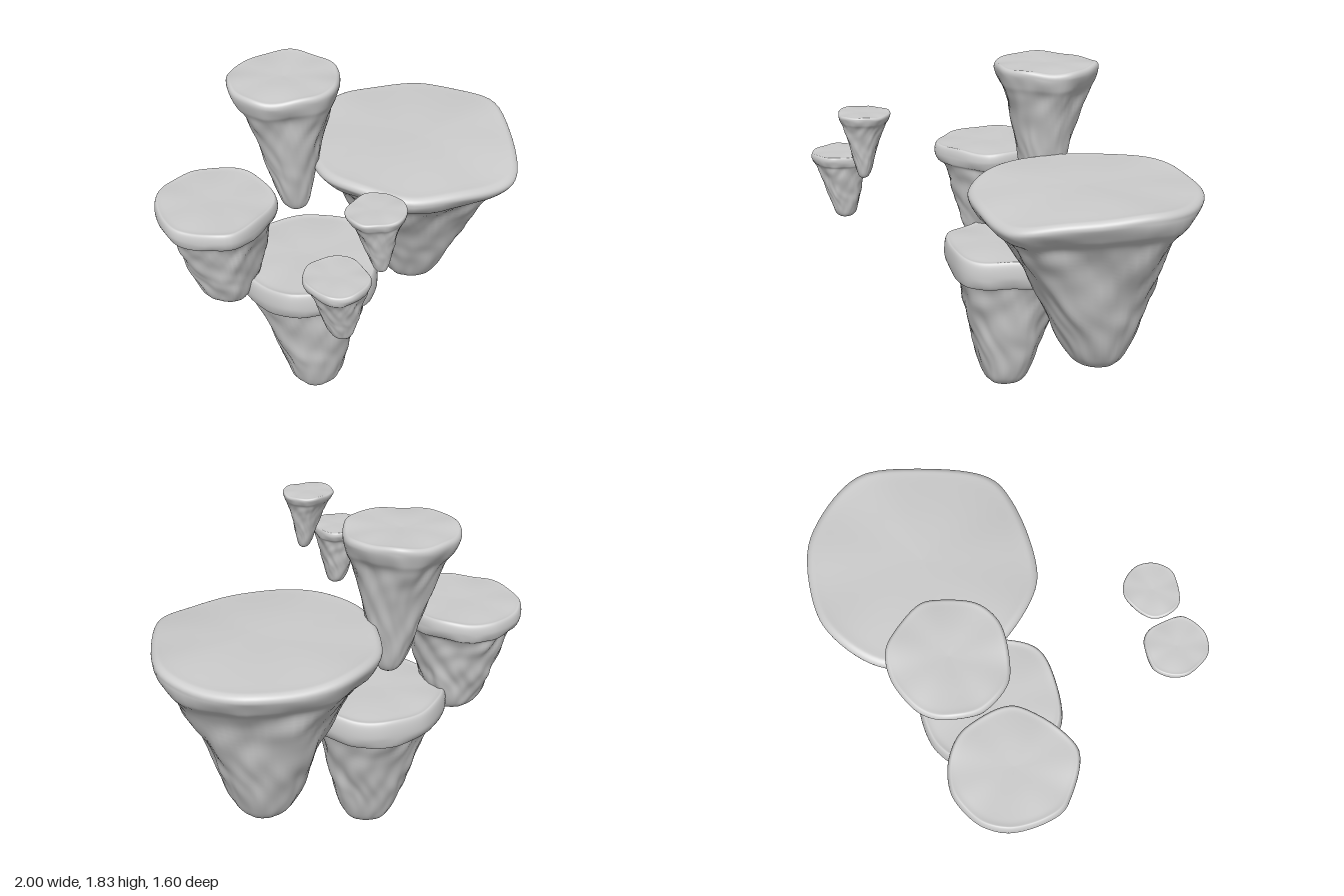
import * as THREE from 'three';

const SEGMENTS = 80, STEPS = 8;
const { lerp, smoothstep, degToRad } = THREE.MathUtils;

// Shared silhouette: [width, height] fractions from the rounded tip to below the rim, then over the dished top
const SIDE = [[0, 0], [0.12, 0.01], [0.22, 0.045], [0.31, 0.13], [0.45, 0.33], [0.62, 0.58], [0.8, 0.79]];
const TOP = [[0.965, 0.986], [0.85, 0.989], [0.45, 0.993], [0, 0.988]];

// Smooth rocky lumps and vertical ridges, periodic around the island
function bump(a, v, s) {
  return 0.4 * Math.sin(3 * a + s * 2.1) * Math.cos(6 * v + s)
    + 0.35 * Math.sin(5 * a + 2 * Math.sin(5 * v + s) + s * 4.3)
    + 0.4 * Math.sin(7 * a + s * 1.7) * Math.sin(19 * v + 2 * Math.sin(2 * a + s))
    + 0.25 * Math.cos(11 * a + 3 * Math.sin(9 * v) + s * 3.1) * Math.cos(13 * v + 3 * Math.sin(3 * a));
}

// y: [tip, top]; tip: [x, z]; rim: [x, z, halfX, halfZ]; taper below 1 gives a fuller body;
// lip: depth of the rounded shoulder; corners: angles of the rim's blunt corners
function island(name, { y, tip, rim, taper, corners, lip = 0.05, tilt = 0, seed }) {
  const [cx, cz, hx, hz] = rim, height = y[1] - y[0];
  const side = [...SIDE, [0.93, 0.925 - lip], [1, 1 - lip]].map(([w, h]) => [Math.pow(w, taper), h]);
  const profile = new THREE.SplineCurve([...side, ...TOP].map(([w, h]) => new THREE.Vector2(w, h)));
  const loop = new THREE.CatmullRomCurve3(corners.map((deg) => {
    const a = degToRad(deg);
    return new THREE.Vector3(Math.cos(a), 0, Math.sin(a));
  }), true, 'catmullrom', 0.45);
  const outline = Array.from({ length: SEGMENTS }, (_, i) => loop.getPoint(i / SEGMENTS));

  const rimRow = (side.length - 1) * STEPS, rows = rimRow + TOP.length * STEPS;
  const position = [], index = [];
  for (let j = 0; j <= rows; j++) {
    const { x: width, y: v } = profile.getPoint(j / rows);
    const onSide = j < rimRow;
    // Bumps fade out at the rim and tip, and corners soften towards the tip
    const rough = onSide ? 0.07 * Math.min(1, (rimRow - j) / (2 * STEPS), j / (3 * STEPS)) : 0;
    const angular = onSide ? lerp(0.3, 1, smoothstep(v, 0.2, 0.95)) : 1;
    const centre = onSide ? width : 1;
    for (const o of outline) {
      const a = Math.atan2(o.z, o.x);
      const k = width * (1 + rough * bump(a, v, seed));
      const ox = lerp(Math.cos(a), o.x, angular) * k;
      const oz = lerp(Math.sin(a), o.z, angular) * k;
      const wave = 0.009 * height * (Math.sin(3 * a + seed) + 0.6 * Math.sin(7 * a + 2 * seed)) * width ** 3;
      position.push(
        lerp(tip[0], cx, centre) + ox * hx,
        y[0] + v * height + (wave - tilt * Math.max(0, oz) ** 1.5) * v * v,
        lerp(tip[1], cz, centre) + oz * hz);
    }
  }
  for (let j = 0; j < rows; j++) {
    for (let i = 0; i < SEGMENTS; i++) {
      const a = j * SEGMENTS + i, b = j * SEGMENTS + (i + 1) % SEGMENTS;
      const c = a + SEGMENTS, d = b + SEGMENTS;
      if (j < rows - 1) index.push(a, c, d);
      if (j > 0) index.push(a, d, b);
    }
  }
  const geometry = new THREE.BufferGeometry();
  geometry.setAttribute('position', new THREE.Float32BufferAttribute(position, 3));
  geometry.setIndex(index);
  geometry.computeVertexNormals();
  const mesh = new THREE.Mesh(geometry, new THREE.MeshStandardMaterial({ color: 0xcccccc }));
  mesh.name = name;
  return mesh;
}

export function createModel() {
  const group = new THREE.Group();
  group.name = 'floatingIslands';
  group.add(
    island('largeIsland', {
      y: [0.39, 1.37], tip: [0.49, -0.3], rim: [0.425, -0.22, 0.577, 0.582], taper: 1, tilt: 0.055, seed: 1,
      corners: [-175, -132, -94, -49, -5, 55, 80, 125, 160],
    }),
    island('lowestIsland', {
      y: [0, 0.86], tip: [-0.25, -0.14], rim: [-0.245, -0.195, 0.388, 0.378], taper: 0.78, lip: 0.11, seed: 2,
      corners: [-172, -136, -100, -65, -35, 0, 55, 83, 135],
    }),
    island('leftIsland', {
      y: [0.7, 1.3], tip: [-0.65, -0.32], rim: [-0.7, -0.317, 0.302, 0.322], taper: 0.62, lip: 0.09, seed: 3,
      corners: [-183, -150, -121, -85, -52, -19, 30, 101, 152],
    }),
    island('highestIsland', {
      y: [1.045, 1.83], tip: [-0.21, -0.36], rim: [-0.24, -0.395, 0.29, 0.275], taper: 1, seed: 4,
      corners: [-183, -146, -118, -82, -50, 3, 52, 86, 137],
    }),
    island('smallLowerIsland', {
      y: [1.05, 1.405], tip: [-0.55, 0.645], rim: [-0.58, 0.64, 0.15, 0.16], taper: 0.8, lip: 0.07, seed: 5,
      corners: [-172, -138, -105, -53, -22, 30, 57, 97, 137],
    }),
    island('smallUpperIsland', {
      y: [1.32, 1.66], tip: [-0.33, 0.63], rim: [-0.35, 0.608, 0.14, 0.133], taper: 1.05, seed: 6,
      corners: [-177, -139, -82, -45, -3, 40, 81, 143],
    }),
  );
  return group;
}
